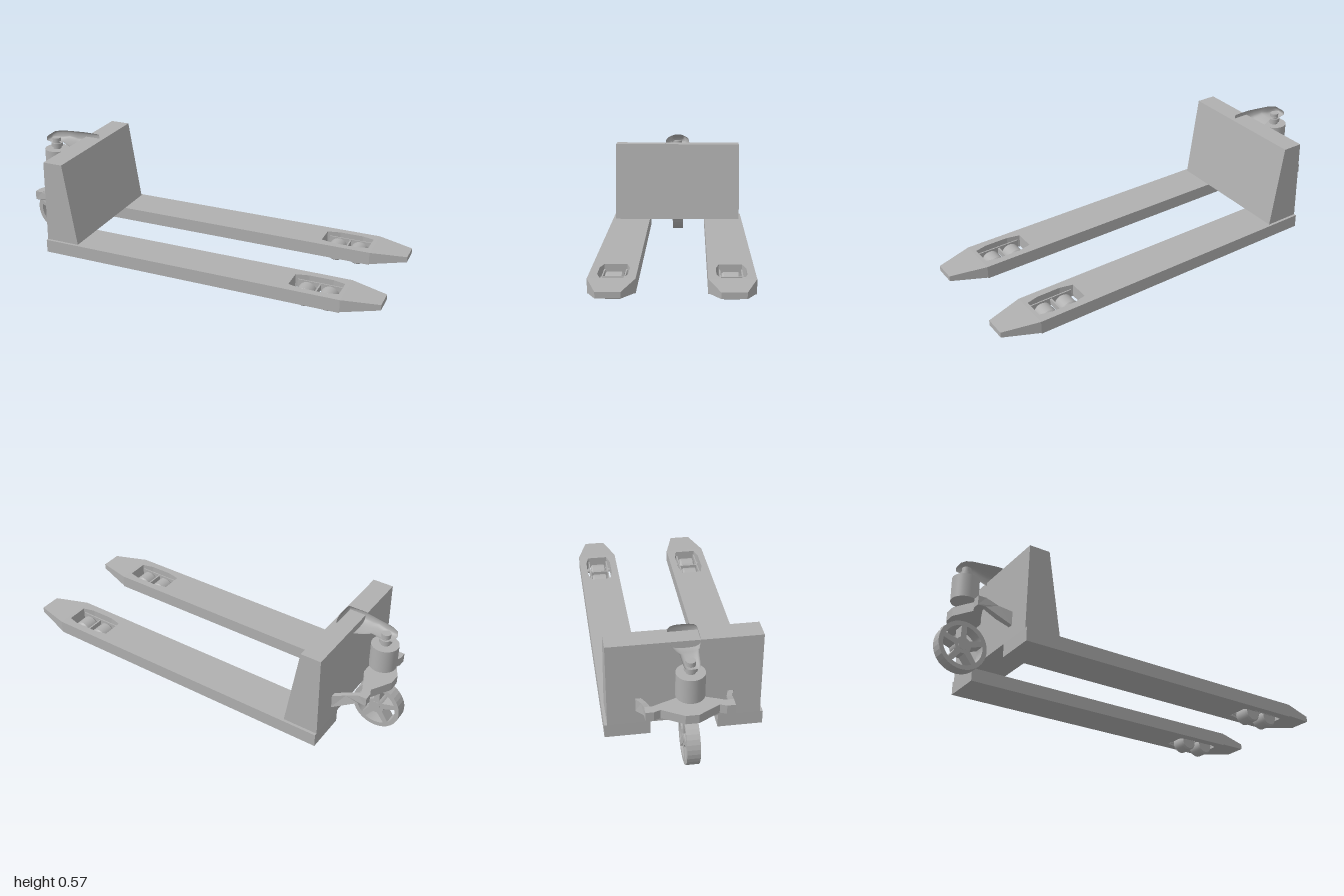
import * as THREE from 'three';

export function createModel() {
  const model = new THREE.Group();
  model.name = 'palletTruck';
  const grey = new THREE.MeshStandardMaterial({ color: 0xb0b0b0 });
  grey.name = 'painted steel grey';

  const add = (name, geometry, x = 0, y = 0, z = 0, parent = model) => {
    const mesh = new THREE.Mesh(geometry, grey);
    mesh.name = name;
    mesh.position.set(x, y, z);
    parent.add(mesh);
    return mesh;
  };
  const polygon = (pts, Type = THREE.Shape) => new Type(pts.map(([x, y]) => new THREE.Vector2(x, y)));
  const extrude = (shape, depth) =>
    new THREE.ExtrudeGeometry(shape, { depth, bevelEnabled: false, curveSegments: 16 });
  // Plan outline (x, z) with its upper face at height top
  const slab = (shape, top, depth) => extrude(shape, depth).rotateX(Math.PI / 2).translate(0, top, 0);

  // Joins rings of equal point count along +x into a capped solid
  const loft = (rings, flat) => {
    const n = rings[0].length, pos = rings.flat(2), index = [];
    for (let r = 0; r < rings.length - 1; r++) {
      for (let i = 0; i < n; i++) {
        const a = r * n + i, b = r * n + (i + 1) % n;
        index.push(a, b, a + n, b, b + n, a + n);
      }
    }
    const last = (rings.length - 1) * n;
    for (let i = 1; i < n - 1; i++) {
      index.push(0, i + 1, i, last, last + i, last + i + 1);
    }
    let g = new THREE.BufferGeometry();
    g.setAttribute('position', new THREE.Float32BufferAttribute(pos, 3));
    g.setIndex(index);
    if (flat) g = g.toNonIndexed();
    g.computeVertexNormals();
    return g;
  };

  // Forks with roller openings, tapered tips and load rollers
  const forkOutline = polygon([[-0.74, -0.105], [0.82, -0.105], [0.82, 0.105], [-0.74, 0.105]]);
  forkOutline.holes.push(polygon([
    [0.555, -0.053], [0.555, 0.053], [0.62, 0.068], [0.74, 0.068],
    [0.8, 0.053], [0.8, -0.053], [0.74, -0.068], [0.62, -0.068],
  ], THREE.Path));
  const forkBody = slab(forkOutline, 0.115, 0.067);
  const tipRing = (x, low, high, half) =>
    [[x, low, -half], [x, high, -half], [x, high, half], [x, low, half]];
  const forkTip = loft([tipRing(0.82, 0.052, 0.115, 0.105), tipRing(1, 0.076, 0.104, 0.054)], true);
  const roller = new THREE.LatheGeometry(
    [[0, -0.042], [0.04, -0.042], [0.04, -0.042], [0.047, -0.033], [0.047, -0.033],
      [0.047, 0.033], [0.047, 0.033], [0.04, 0.042], [0.04, 0.042], [0, 0.042]]
      .map(([r, h]) => new THREE.Vector2(r, h)), 32).rotateX(Math.PI / 2);
  const axle = new THREE.CylinderGeometry(0.01, 0.01, 0.13, 12).rotateX(Math.PI / 2);
  for (const side of [1, -1]) {
    const fork = new THREE.Group();
    fork.name = side > 0 ? 'leftFork' : 'rightFork';
    fork.position.z = side * 0.261;
    model.add(fork);
    add('forkBody', forkBody, 0, 0, 0, fork);
    add('forkTip', forkTip, 0, 0, 0, fork);
    for (const x of [0.625, 0.737]) {
      add('loadRoller', roller, x, 0.05, 0, fork);
      add('rollerAxle', axle, x, 0.065, 0, fork);
    }
    for (const s of [1, -1]) {
      add('rollerCarriagePlate', new THREE.BoxGeometry(0.222, 0.04, 0.006), 0.68, 0.075, s * 0.05, fork);
    }
    add('rollerCarriageBar', new THREE.BoxGeometry(0.008, 0.03, 0.1), 0.681, 0.075, 0, fork);
  }

  // Upright with sloping front face
  const uprightProfile = polygon([[-0.74, 0.115], [-0.563, 0.115], [-0.632, 0.537], [-0.735, 0.537]]);
  add('upright', extrude(uprightProfile, 0.704), 0, 0, -0.352);

  // Steering wheel-unit: five-spoke wheel
  const wheelShape = new THREE.Shape().absarc(0, 0, 0.12, 0, Math.PI * 2, false);
  for (let i = 0; i < 5; i++) {
    const mid = Math.PI / 2 + (i + 0.5) * Math.PI * 2 / 5;
    const hole = new THREE.Path();
    hole.absarc(0, 0, 0.098, mid - 0.5, mid + 0.5, false);
    hole.absarc(0, 0, 0.04, mid + 0.25, mid - 0.25, true);
    hole.closePath();
    wheelShape.holes.push(hole);
  }
  add('steerWheel', extrude(wheelShape, 0.06), -0.88, 0.121, -0.03);
  add('wheelHub', new THREE.CylinderGeometry(0.022, 0.022, 0.064, 20).rotateX(Math.PI / 2), -0.88, 0.121, 0);

  // Yoke above the wheel, waisted toward both ends
  const half = [[-0.945, 0.03], [-0.925, 0.065], [-0.888, 0.13], [-0.9, 0.16], [-0.9, 0.193],
    [-0.858, 0.193], [-0.858, 0.16], [-0.845, 0.13], [-0.82, 0.065], [-0.8, 0.03]];
  const mirrored = half.map(([x, z]) => [x, -z]).reverse();
  add('steeringYoke', slab(polygon([...half, ...mirrored]), 0.295, 0.045));

  // Drag links from the yoke ends down to the upright
  const linkProfile = polygon([[-0.9, 0.25], [-0.86, 0.25], [-0.8, 0.215], [-0.735, 0.18],
    [-0.735, 0.25], [-0.8, 0.27], [-0.86, 0.295], [-0.9, 0.295]]);
  for (const side of [1, -1]) {
    const link = extrude(linkProfile, 0.026).translate(0, 0, -0.013);
    const p = link.attributes.position;
    for (let i = 0; i < p.count; i++) {
      const bend = Math.max(0, p.getX(i) + 0.82) * 0.3;
      p.setZ(i, p.getZ(i) + side * (0.185 + bend));
    }
    link.computeVertexNormals();
    add(side > 0 ? 'leftLink' : 'rightLink', link);
  }

  // Pump cylinder hanging from the arm
  const stack = [['pumpCylinder', 0.065, 0.355, 0.475, 32], ['pumpNeck', 0.022, 0.475, 0.535, 20],
    ['pumpCollar', 0.03, 0.488, 0.508, 20]];
  for (const [name, r, low, high, sides] of stack) {
    add(name, new THREE.CylinderGeometry(r, r, high - low, sides), -0.877, (low + high) / 2, 0);
  }

  // Rounded arm reaching back from the upright: x, bottom, top, half width
  const sections = [[-0.924, 0.522, 0.532, 0.02], [-0.918, 0.517, 0.546, 0.033], [-0.895, 0.512, 0.562, 0.037],
    [-0.86, 0.515, 0.571, 0.039], [-0.82, 0.525, 0.573, 0.043], [-0.78, 0.51, 0.573, 0.057],
    [-0.74, 0.502, 0.573, 0.067], [-0.7, 0.502, 0.573, 0.068], [-0.654, 0.502, 0.572, 0.068]];
  const bulge = v => Math.sign(v) * Math.pow(Math.abs(v), 0.65);
  const rings = sections.map(([x, low, high, w]) => Array.from({ length: 24 }, (_, i) => {
    const a = -i / 24 * Math.PI * 2;
    return [x, (low + high) / 2 + bulge(Math.sin(a)) * (high - low) / 2, bulge(Math.cos(a)) * w];
  }));
  // Reverse ring direction so that faces point outward
  add('pumpArm', loft(rings.map(r => r.reverse()), false));

  return model;
}
